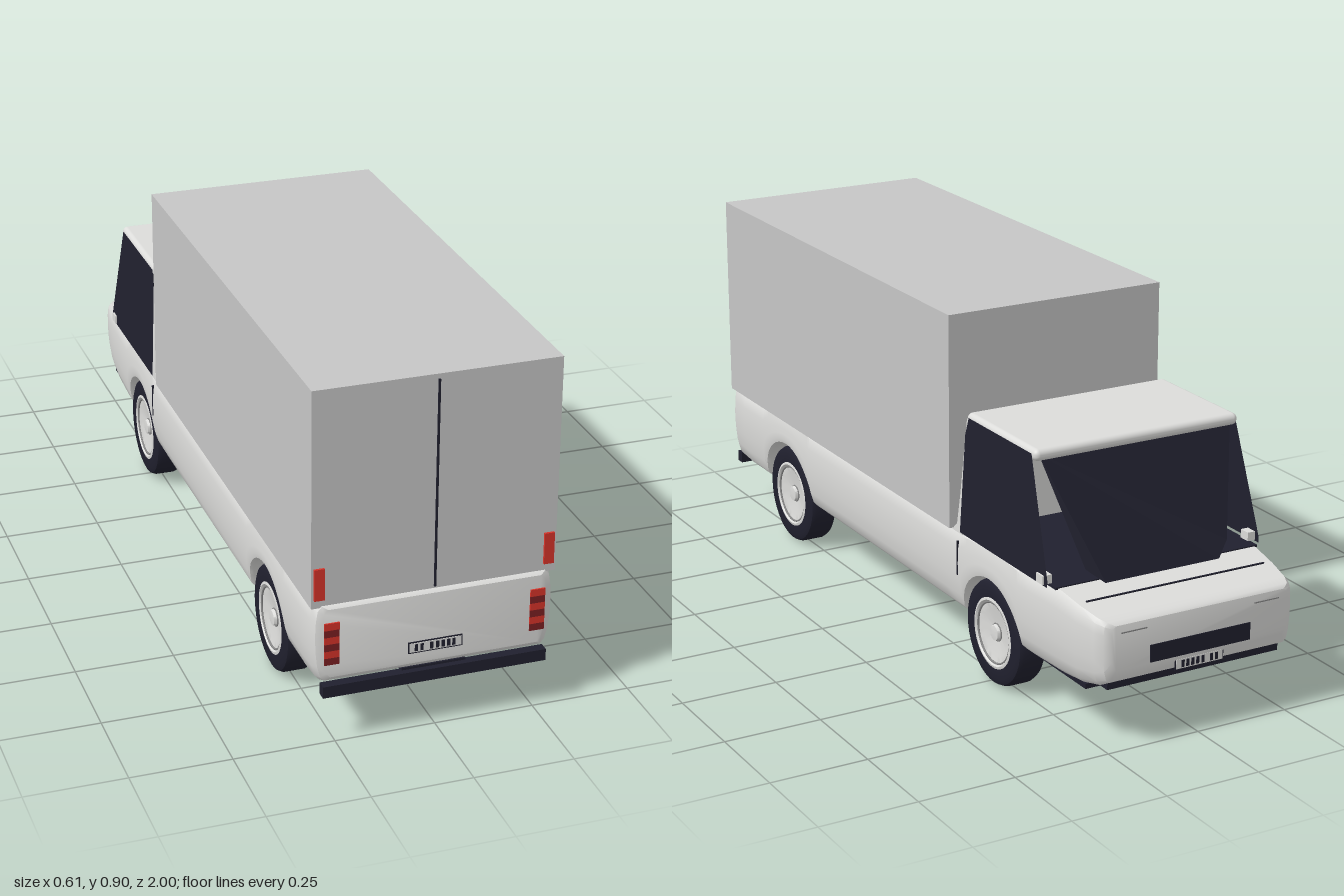
import * as THREE from 'three';
import { toCreasedNormals } from 'three/addons/utils/BufferGeometryUtils.js';
import { RoundedBoxGeometry } from 'three/addons/geometries/RoundedBoxGeometry.js';

const mat = (name, color, side = THREE.FrontSide) => {
  const m = new THREE.MeshStandardMaterial({ color, side });
  m.name = name;
  return m;
};

export function createModel() {
  const truck = new THREE.Group();
  truck.name = 'boxTruck';
  const paint = mat('bodyPaint', 0xdcdcda, THREE.DoubleSide);
  const cargo = mat('cargoGrey', 0xc6c6c6);
  const dark = mat('darkTrim', 0x20202e, THREE.DoubleSide);
  const red = mat('lampRed', 0xd8342a);
  const darkRed = mat('lampDarkRed', 0x7c2022);
  const groove = mat('grooveGrey', 0x8a8a8a, THREE.DoubleSide);

  const add = (name, geo, material, parent = truck) => {
    const m = new THREE.Mesh(geo, material);
    m.name = name;
    parent.add(m);
    return m;
  };
  // Box given by its extents along each axis
  const box = (name, material, [x0, x1], [y0, y1], [z0, z1]) => {
    const m = add(name, new THREE.BoxGeometry(x1 - x0, y1 - y0, z1 - z0), material);
    m.position.set((x0 + x1) / 2, (y0 + y1) / 2, (z0 + z1) / 2);
    return m;
  };
  const mirrored = (name, material, [x0, x1], ys, zs) => {
    box(name + 'Left', material, [x0, x1], ys, zs);
    box(name + 'Right', material, [-x1, -x0], ys, zs);
  };
  // Flat convex panel from corner points
  const panel = (name, material, pts) => {
    const pos = [];
    for (let i = 1; i < pts.length - 1; i++) pos.push(...pts[0], ...pts[i], ...pts[i + 1]);
    const g = new THREE.BufferGeometry();
    g.setAttribute('position', new THREE.Float32BufferAttribute(pos, 3));
    g.computeVertexNormals();
    return add(name, g, material);
  };

  // Lower body: loft along z, with the underside raised over each axle
  const stations = [ // z, half width, bottom, top
    [-1, 0.245, 0.205, 0.318], [-0.99, 0.262, 0.175, 0.326], [-0.965, 0.274, 0.162, 0.331],
    [-0.9, 0.286, 0.148, 0.342], [-0.82, 0.294, 0.145, 0.355], [-0.7, 0.3, 0.145, 0.355],
    [-0.3, 0.304, 0.145, 0.355], [0.9, 0.304, 0.145, 0.355], [0.96, 0.302, 0.149, 0.357],
    [0.982, 0.294, 0.157, 0.354], [0.99, 0.28, 0.168, 0.347],
  ];
  const arches = [[-0.52, 0.14], [0.625, 0.146]];
  const at = (z) => {
    let i = 0;
    while (i < stations.length - 2 && z > stations[i + 1][0]) i++;
    const a = stations[i], b = stations[i + 1], t = (z - a[0]) / (b[0] - a[0]);
    return a.map((v, k) => v + (b[k] - v) * t);
  };
  const zs = stations.map((s) => s[0]);
  for (const [zc, r] of arches) {
    for (let k = 0; k <= 20; k++) zs.push(zc - r * Math.cos((k / 20) * Math.PI));
  }
  zs.sort((a, b) => a - b);
  const levels = [[0, 0.96], [0.06, 0.99], [0.2, 1], [0.4, 1], [0.6, 1], [0.8, 1], [0.94, 0.995], [1, 0.965]];
  const pos = [], idx = [];
  const n = levels.length * 2;
  for (const z of zs) {
    let [, w, yb, yt] = at(z);
    for (const [zc, r] of arches) {
      const d = r * r - (z - zc) ** 2;
      if (d > 0) yb = Math.max(yb, 0.135 + Math.sqrt(d));
    }
    const half = levels.map(([s, k]) => {
      const y = yb + (yt - yb) * s;
      return [w * k * (1 - 0.05 * ((y - 0.27) / 0.125) ** 2), y];
    });
    half.forEach(([x, y]) => pos.push(x, y, z));
    half.reverse().forEach(([x, y]) => pos.push(-x, y, z));
  }
  for (let i = 0; i < zs.length - 1; i++) {
    for (let j = 0; j < n; j++) {
      const a = i * n + j, b = i * n + ((j + 1) % n);
      idx.push(a, b, b + n, a, b + n, a + n);
    }
  }
  const last = (zs.length - 1) * n;
  for (let j = 1; j < n - 1; j++) {
    idx.push(0, j + 1, j, last, last + j, last + j + 1);
  }
  const bodyGeo = new THREE.BufferGeometry();
  bodyGeo.setAttribute('position', new THREE.Float32BufferAttribute(pos, 3));
  bodyGeo.setIndex(idx);
  add('lowerBody', toCreasedNormals(bodyGeo, 0.6), paint);

  // Underside
  box('rearFloor', paint, [-0.2, 0.2], [0.145, 0.152], [0.46, 0.79]);
  box('frontUndertray', dark, [-0.265, 0.265], [0.137, 0.15], [-0.92, -0.665]);
  box('frontUndertrayCentre', dark, [-0.2, 0.2], [0.137, 0.27], [-0.67, -0.37]);
  box('frontLip', dark, [-0.24, 0.24], [0.15, 0.168], [-0.975, -0.93]);

  // Cargo box with rear door seam and lamps
  box('cargoBox', cargo, [-0.303, 0.303], [0.35, 0.9], [-0.33, 0.98]);
  box('doorSeam', dark, [-0.0025, 0.0025], [0.36, 0.888], [0.978, 0.984]);
  mirrored('cargoLamp', red, [0.272, 0.297], [0.372, 0.453], [0.978, 0.986]);

  // Rear lamps, plate and bumper
  for (let k = 0; k < 6; k++) {
    const y = 0.203 + k * 0.0183;
    mirrored('tailLamp' + k, k % 2 ? red : darkRed, [0.238, 0.275], [y, y + 0.0183], [0.987, 0.994]);
  }
  const numberPlate = (name, zc, dir, y0) => {
    const layer = (part, m, xr, yr, d) =>
      box(name + part, m, xr, yr, [zc + dir * d - 0.001, zc + dir * d + 0.001]);
    layer('Frame', dark, [-0.068, 0.068], [y0, y0 + 0.03], 0.001);
    layer('Face', paint, [-0.065, 0.065], [y0 + 0.003, y0 + 0.027], 0.002);
    for (const x of [-0.048, -0.034, -0.01, 0.005, 0.019, 0.033, 0.046]) {
      layer('Bar', dark, [x - 0.004, x + 0.004], [y0 + 0.006, y0 + 0.024], 0.003);
    }
  };
  numberPlate('rearPlate', 0.991, 1, 0.196);
  numberPlate('frontPlate', -0.995, -1, 0.17);
  box('rearBumper', dark, [-0.28, 0.28], [0.12, 0.15], [0.975, 1]);
  box('bumperMount', dark, [-0.08, 0.08], [0.145, 0.156], [0.95, 0.985]);

  // Nose details
  box('grille', dark, [-0.14, 0.14], [0.208, 0.252], [-1.002, -0.996]);
  mirrored('headlampEdge', groove, [0.15, 0.22], [0.297, 0.3], [-1.002, -0.996]);
  const seam = box('bonnetSeam', dark, [-0.25, 0.25], [0.343, 0.346], [-0.896, -0.892]);
  seam.rotation.x = -0.16;
  mirrored('doorSeamSide', dark, [0.296, 0.3045], [0.24, 0.33], [-0.372, -0.368]);

  // Cab: dark floor, roof, back wall and glass
  box('cabFloor', dark, [-0.285, 0.285], [0.352, 0.358], [-0.815, -0.37]);
  const roof = add('cabRoof', new RoundedBoxGeometry(0.572, 0.03, 0.335, 4, 0.014), paint);
  roof.position.set(0, 0.652, -0.552);

  const wall = new THREE.Shape([
    [0.335, 0.35], [0.358, 0.372], [0.368, 0.45], [0.385, 0.65], [0.4, 0.65], [0.385, 0.35],
  ].map(([z, y]) => new THREE.Vector2(z, y)));
  const wallGeo = new THREE.ExtrudeGeometry(wall, { depth: 0.596, bevelEnabled: false });
  wallGeo.rotateY(Math.PI / 2).translate(-0.298, 0, 0);
  const wp = wallGeo.attributes.position;
  for (let i = 0; i < wp.count; i++) wp.setX(i, wp.getX(i) * (1 - 0.17 * (wp.getY(i) - 0.35)));
  wallGeo.computeVertexNormals();
  add('cabBackWall', wallGeo, paint);
  panel('rearWindow', dark, [
    [-0.25, 0.41, -0.361], [0.25, 0.41, -0.361], [0.25, 0.45, -0.366],
    [0.24, 0.63, -0.381], [-0.24, 0.63, -0.381], [-0.25, 0.45, -0.366],
  ]);
  for (const s of [1, -1]) {
    const side = [[-0.378, 0.355], [-0.386, 0.61], [-0.4, 0.656], [-0.702, 0.656], [-0.8, 0.372], [-0.8, 0.355]];
    panel(s > 0 ? 'sideWindowLeft' : 'sideWindowRight', dark,
      side.map(([z, y]) => [s * (0.3 - 0.045 * (y - 0.355)), y, z]));
  }
  panel('windscreen', dark, [
    [0.27, 0.655, -0.705], [0.2, 0.385, -0.808], [0.16, 0.352, -0.835],
    [-0.16, 0.352, -0.835], [-0.2, 0.385, -0.808], [-0.27, 0.655, -0.705],
  ]);
  mirrored('mirror', paint, [0.278, 0.304], [0.358, 0.38], [-0.785, -0.755]);

  // Wheels
  const lathe = (pts) => toCreasedNormals(
    new THREE.LatheGeometry(pts.map(([r, h]) => new THREE.Vector2(r, h)), 40), 0.5);
  const tyreGeo = lathe([[0.088, -0.038], [0.118, -0.04], [0.13, -0.035], [0.135, -0.025],
    [0.135, 0.025], [0.13, 0.035], [0.118, 0.04], [0.09, 0.038]]);
  const rimGeo = lathe([[0, 0], [0.085, 0], [0.09, -0.036], [0.091, 0.038], [0.084, 0.04],
    [0.078, 0.033], [0.06, 0.029], [0.022, 0.024], [0.019, 0.034], [0, 0.036]]);
  const ringGeo = new THREE.TorusGeometry(0.078, 0.003, 6, 40).rotateX(Math.PI / 2).translate(0, 0.034, 0);
  const capGeo = new THREE.TorusGeometry(0.022, 0.002, 6, 24).rotateX(Math.PI / 2).translate(0, 0.025, 0);
  for (const s of [1, -1]) {
    for (const [zc] of arches) {
      const wheel = new THREE.Group();
      wheel.name = (zc < 0 ? 'front' : 'rear') + (s > 0 ? 'LeftWheel' : 'RightWheel');
      add('tyre', tyreGeo, dark, wheel);
      add('rim', rimGeo, paint, wheel);
      add('rimGroove', ringGeo, groove, wheel);
      add('hubRing', capGeo, groove, wheel);
      wheel.rotation.z = -s * Math.PI / 2;
      wheel.position.set(s * 0.25, 0.135, zc);
      truck.add(wheel);
    }
  }
  return truck;
}
